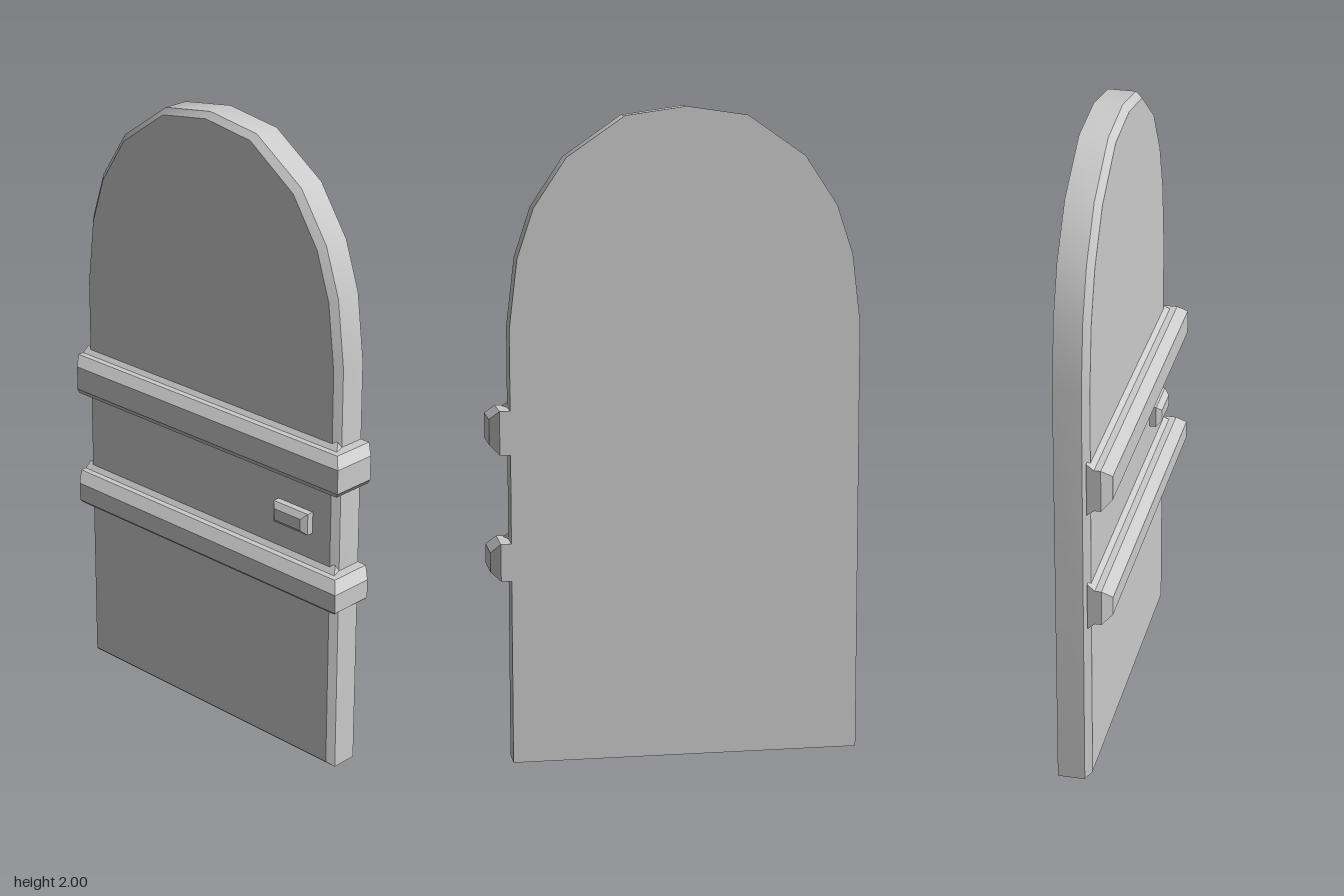
import * as THREE from 'three';
import { toCreasedNormals } from 'three/addons/utils/BufferGeometryUtils.js';

const material = new THREE.MeshStandardMaterial({ color: 0xcccccc });

// Skins a row of equal-length rings (counter-clockwise seen from the last one) and caps both ends.
function loft(name, rings) {
  const positions = [];
  const tri = (a, b, c) => {
    const [A, B, C] = [a, b, c].map((p) => new THREE.Vector3(...p));
    if (B.sub(A).cross(C.sub(A)).length() > 1e-9) positions.push(...a, ...b, ...c);
  };
  const quad = (a, b, c, d) => { tri(a, b, c); tri(a, c, d); };
  const n = rings[0].length;
  for (let r = 0; r < rings.length - 1; r++) {
    for (let i = 0; i < n; i++) {
      const j = (i + 1) % n;
      quad(rings[r][i], rings[r][j], rings[r + 1][j], rings[r + 1][i]);
    }
  }
  const first = rings[0], last = rings[rings.length - 1];
  for (let i = 0; i < Math.floor(n / 2); i++) {
    const k = n - 1 - i;
    quad(last[i], last[i + 1], last[k - 1], last[k]);
    quad(first[k], first[k - 1], first[i + 1], first[i]);
  }
  const geometry = new THREE.BufferGeometry();
  geometry.setAttribute('position', new THREE.Float32BufferAttribute(positions, 3));
  const mesh = new THREE.Mesh(toCreasedNormals(geometry, 0.6), material);
  mesh.name = name;
  return mesh;
}

// Flat plate with a chamfered front edge; outline is centred on (cx, cy).
function chamferedPlate(name, outline, cx, cy, sx, sy, zBack, zEdge, zFront) {
  const ring = (z, kx, ky) => outline.map(([x, y]) => [cx + x * kx, cy + y * ky, z]);
  return loft(name, [ring(zBack, 1, 1), ring(zEdge, 1, 1), ring(zFront, sx, sy)]);
}

// Strap across the front that wraps round the right-hand edge to the back.
// tops / bottoms: heights at the flared foot, the body and the front face.
function strap(name, tops, bottoms) {
  const offsets = [0, 0.015, 0.035, 0.065];
  const level = [0, 1, 1, 2];
  const station = (place, footLevel) => {
    const side = (ys) => offsets.map((d, i) => {
      const [x, z] = place(d, i);
      return [x, ys[i === 0 ? footLevel : level[i]], z];
    });
    return [...side(tops), ...side(bottoms).reverse()];
  };
  return loft(name, [
    station((d, i) => [i === 3 ? -0.545 : -0.57, i === 0 ? 0.012 : 0.02 + d], 0),
    station((d, i) => (i === 0 ? [0.505, 0.012] : [0.507 + d, 0.02 + d]), 0),
    station((d, i) => (i === 0 ? [0.51, 0] : [0.507 + d, 0.02 + d]), 1),
    station((d, i) => [i === 0 ? 0.505 : 0.507 + d, i === 3 ? -0.06 : -0.085], 1),
  ]);
}

export function createModel() {
  const group = new THREE.Group();
  group.name = 'archedDoor';

  // Arched door leaf
  const half = [[0.54, -1], [0.54, 0.34], [0.515, 0.55], [0.465, 0.70], [0.365, 0.85], [0.187, 0.973]];
  const outline = [...half, [0, 1], ...half.map(([x, y]) => [-x, y]).reverse()];
  group.add(chamferedPlate('doorPanel', outline, -0.03, 1, 0.963, 0.982, -0.085, 0, 0.02));

  // Two wrap-round straps
  group.add(strap('upperStrap', [1.11, 1.092, 1.065], [0.94, 0.958, 0.988]));
  group.add(strap('lowerStrap', [0.705, 0.685, 0.655], [0.55, 0.57, 0.595]));

  // Handle
  const rect = [[0.07, -0.035], [0.07, 0.035], [-0.07, 0.035], [-0.07, -0.035]];
  group.add(chamferedPlate('handle', rect, 0.348, 0.821, 0.77, 0.53, 0.01, 0.042, 0.058));

  return group;
}
